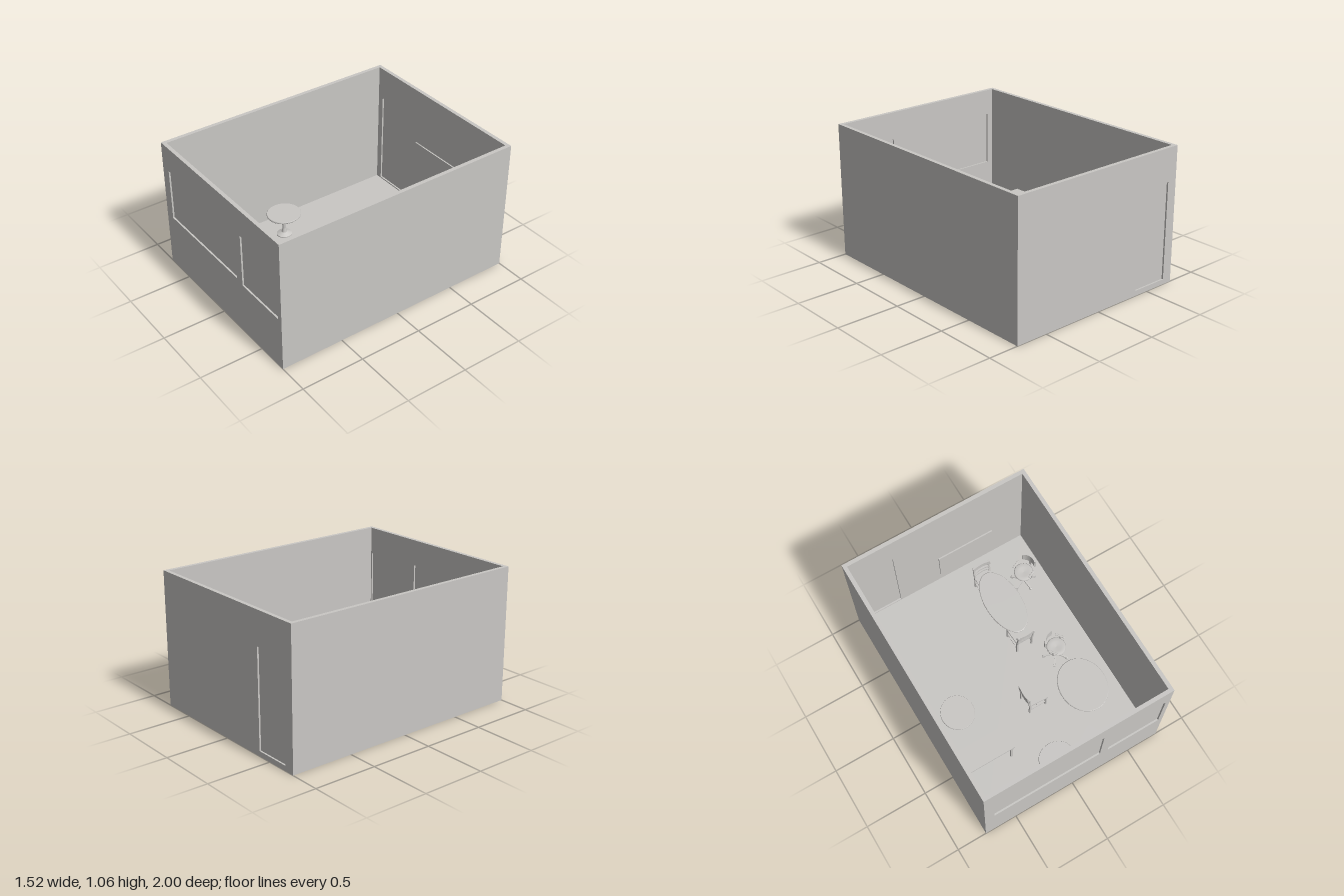
import * as THREE from 'three';
import { RoundedBoxGeometry } from 'three/addons/geometries/RoundedBoxGeometry.js';

const W = 0.76, D = 1, H = 1.06, T = 0.03, FLOOR = 0.03;

export function createModel() {
  const plaster = new THREE.MeshStandardMaterial({ color: 0xc9c7c4 });
  plaster.name = 'warm grey';
  const model = new THREE.Group();
  model.name = 'furnishedRoom';

  const add = (parent, name, geometry, x = 0, y = 0, z = 0) => {
    const mesh = new THREE.Mesh(geometry, plaster);
    mesh.name = name;
    mesh.position.set(x, y, z);
    parent.add(mesh);
    return mesh;
  };
  const box = (parent, name, w, h, d, x, y, z) =>
    add(parent, name, new THREE.BoxGeometry(w, h, d), x, y, z);
  const group = (name, x, z, angle = 0) => {
    const g = new THREE.Group();
    g.name = name;
    g.position.set(x, FLOOR, z);
    g.rotation.y = angle;
    model.add(g);
    return g;
  };
  const rect = (path, x0, y0, x1, y1) =>
    path.moveTo(x0, y0).lineTo(x1, y0).lineTo(x1, y1).lineTo(x0, y1).closePath();

  // Floor and plain side walls
  box(model, 'floor', 2 * W, FLOOR, 2 * D, 0, FLOOR / 2, 0);
  for (const s of [-1, 1])
    box(model, 'sideWall', T, H - FLOOR, 2 * (D - T), s * (W - T / 2), (H + FLOOR) / 2, 0);

  // End walls with openings, each closed by a thin recessed pane
  const endWall = (name, z, openings) => {
    const shape = rect(new THREE.Shape(), -W, FLOOR, W, H);
    for (const [label, x0, y0, x1, y1] of openings) {
      shape.holes.push(rect(new THREE.Path(), x0, y0, x1, y1));
      box(model, label, x1 - x0, y1 - y0, 0.004, (x0 + x1) / 2, (y0 + y1) / 2, z + T / 2);
    }
    add(model, name, new THREE.ExtrudeGeometry(shape, { depth: T, bevelEnabled: false }), 0, 0, z);
  };
  endWall('frontWall', D - T, [
    ['wideWindow', -0.68, 0.44, 0.21, 0.855],
    ['squareWindow', 0.28, 0.42, 0.72, 0.845],
  ]);
  endWall('backWall', -D, [['door', -0.68, 0.04, -0.385, 0.8]]);

  // Oval pedestal tables: the turned profile is stretched to an oval
  const ovalTable = (name, x, z, rx, rz, h) => {
    const g = group(name, x, z);
    const top = [[0, h - 0.018], [0.96, h - 0.018], [1, h - 0.012], [1, h - 0.005], [0.98, h], [0, h]];
    const foot = [[0, 0], [0.45, 0], [0.45, 0.008], [0.16, 0.025], [0.11, 0.06], [0.11, h - 0.05], [0.25, h - 0.016]];
    for (const [label, pts] of [['tableTop', top], ['tablePedestal', foot]]) {
      const profile = pts.map(([r, y]) => new THREE.Vector2(r, y));
      // Duplicate flat rings through separate turned bands to keep edges crisp
      for (let i = 0; i < profile.length - 1; i++) {
        const band = new THREE.LatheGeometry([profile[i], profile[i + 1]], 48);
        band.scale(rx, 1, rz);
        add(g, label, band);
      }
    }
  };
  ovalTable('longDiningTable', 0.25, -0.44, 0.143, 0.28, 0.265);
  ovalTable('largeOvalTable', 0.42, 0.45, 0.184, 0.22, 0.265);
  ovalTable('smallRoundTable', -0.497, 0.137, 0.13, 0.137, 0.2);
  ovalTable('frontOvalTable', -0.037, 0.81, 0.137, 0.112, 0.2);

  // Rectangular desk
  const desk = group('desk', -0.482, 0.514);
  box(desk, 'deskTop', 0.414, 0.018, 0.186, 0, 0.256, 0);
  for (const sx of [-1, 1]) for (const sz of [-1, 1])
    box(desk, 'deskLeg', 0.018, 0.247, 0.018, sx * 0.19, 0.1235, sz * 0.076);

  // Ladder-back chairs, facing local +z
  const bowedRail = (w, h) => {
    const s = new THREE.Shape();
    s.moveTo(-w / 2, 0).quadraticCurveTo(0, -0.022, w / 2, 0);
    s.lineTo(w / 2, 0.012).quadraticCurveTo(0, -0.01, -w / 2, 0.012).closePath();
    const g = new THREE.ExtrudeGeometry(s, { depth: h, bevelEnabled: false, curveSegments: 10 });
    return g.rotateX(-Math.PI / 2).scale(1, 1, -1).rotateZ(Math.PI).translate(0, h, 0);
  };
  const diningChair = (x, z, angle) => {
    const g = group('diningChair', x, z, angle);
    const seat = new THREE.Shape();
    seat.moveTo(-0.07, -0.075).lineTo(0.07, -0.075).lineTo(0.077, 0.084)
      .quadraticCurveTo(0, 0.094, -0.077, 0.084).closePath();
    const slab = new THREE.ExtrudeGeometry(seat, { depth: 0.016, bevelEnabled: false });
    slab.rotateX(Math.PI / 2);
    add(g, 'seat', slab, 0, 0.17, 0);
    for (const s of [-1, 1]) {
      box(g, 'frontLeg', 0.014, 0.155, 0.014, s * 0.066, 0.0775, 0.072);
      box(g, 'backLeg', 0.014, 0.17, 0.014, s * 0.066, 0.085, -0.07);
      box(g, 'backPost', 0.014, 0.17, 0.014, s * 0.066, 0.233, -0.08).rotation.x = -0.11;
      box(g, 'sideStretcher', 0.008, 0.01, 0.14, s * 0.066, 0.06, 0);
    }
    box(g, 'crossStretcher', 0.132, 0.01, 0.008, 0, 0.06, 0);
    // Two slats and a deeper top rail follow the lean of the posts
    for (const [y, h, zz] of [[0.2, 0.016, -0.077], [0.235, 0.016, -0.081], [0.272, 0.048, -0.086]]) {
      const w = h > 0.02 ? 0.152 : 0.13;
      const rail = bowedRail(w, h);
      rail.computeBoundingBox();
      const b = rail.boundingBox;
      rail.translate(0, -b.min.y, -(b.min.z + b.max.z) / 2);
      add(g, h > 0.02 ? 'topRail' : 'backSlat', rail, 0, y, zz).material = railMaterial;
    }
  };
  // Mirrored rail extrusions show both faces
  const railMaterial = plaster;
  railMaterial.side = THREE.DoubleSide;
  diningChair(0.078, 0.3, Math.PI / 2);
  diningChair(0.288, 0.83, Math.atan2(-0.5, -0.87));
  diningChair(0.25, -0.692, 0);
  diningChair(0.25, -0.186, Math.PI);

  // Swivel chairs with five-armed bases, facing local +z
  const swivelChair = (x, z, angle) => {
    const g = group('swivelChair', x, z, angle);
    for (let i = 0; i < 5; i++) {
      const arm = new THREE.Group();
      arm.name = 'baseArm';
      arm.rotation.y = (i / 5) * Math.PI * 2;
      box(arm, 'baseSpoke', 0.014, 0.012, 0.095, 0, 0.028, 0.05).rotation.x = 0.08;
      const wheel = add(arm, 'caster', new THREE.CylinderGeometry(0.011, 0.011, 0.016, 14), 0, 0.011, 0.095);
      wheel.rotation.z = Math.PI / 2;
      g.add(arm);
    }
    add(g, 'gasLift', new THREE.CylinderGeometry(0.01, 0.013, 0.13, 16), 0, 0.09, 0);
    const seat = [[0, 0.15], [0.06, 0.15], [0.075, 0.158], [0.077, 0.168], [0.07, 0.176], [0.04, 0.174], [0, 0.17]];
    add(g, 'seat', new THREE.LatheGeometry(seat.map(p => new THREE.Vector2(...p)), 32));
    // Curved backrest and its support
    const back = new THREE.Shape();
    back.absarc(0, 0, 0.098, Math.PI * 0.27, Math.PI * 0.73, false);
    back.absarc(0, 0, 0.084, Math.PI * 0.73, Math.PI * 0.27, true);
    const shell = new THREE.ExtrudeGeometry(back, { depth: 0.09, bevelEnabled: false, curveSegments: 16 });
    shell.rotateX(-Math.PI / 2);
    add(g, 'backrest', shell, 0, 0.22, 0);
    box(g, 'backSupport', 0.022, 0.1, 0.008, 0, 0.2, -0.094);
    box(g, 'backBracket', 0.022, 0.008, 0.09, 0, 0.151, -0.053);
    for (const s of [-1, 1]) {
      add(g, 'armrest', new RoundedBoxGeometry(0.016, 0.01, 0.075, 2, 0.004), s * 0.074, 0.225, 0);
      box(g, 'armPost', 0.008, 0.06, 0.012, s * 0.074, 0.192, 0);
    }
  };
  swivelChair(0.54, -0.61, Math.atan2(-0.9, 0.42));
  swivelChair(0.43, 0.06, Math.atan2(0.6, 0.8));

  // Wall screen: thin panel with a stepped, tapered rear housing
  const tv = group('wallScreen', 0.15, -0.825);
  box(tv, 'screenPanel', 0.46, 0.27, 0.01, 0, 0.57, 0);
  const housing = new THREE.CylinderGeometry(0.72, 1, 1, 4, 1);
  housing.rotateY(Math.PI / 4).rotateX(-Math.PI / 2).scale(0.4 / Math.SQRT2, 0.21 / Math.SQRT2, 0.025);
  const flat = housing.toNonIndexed();
  flat.computeVertexNormals();
  add(tv, 'rearHousing', flat, 0, 0.57, -0.0175);

  return model;
}
